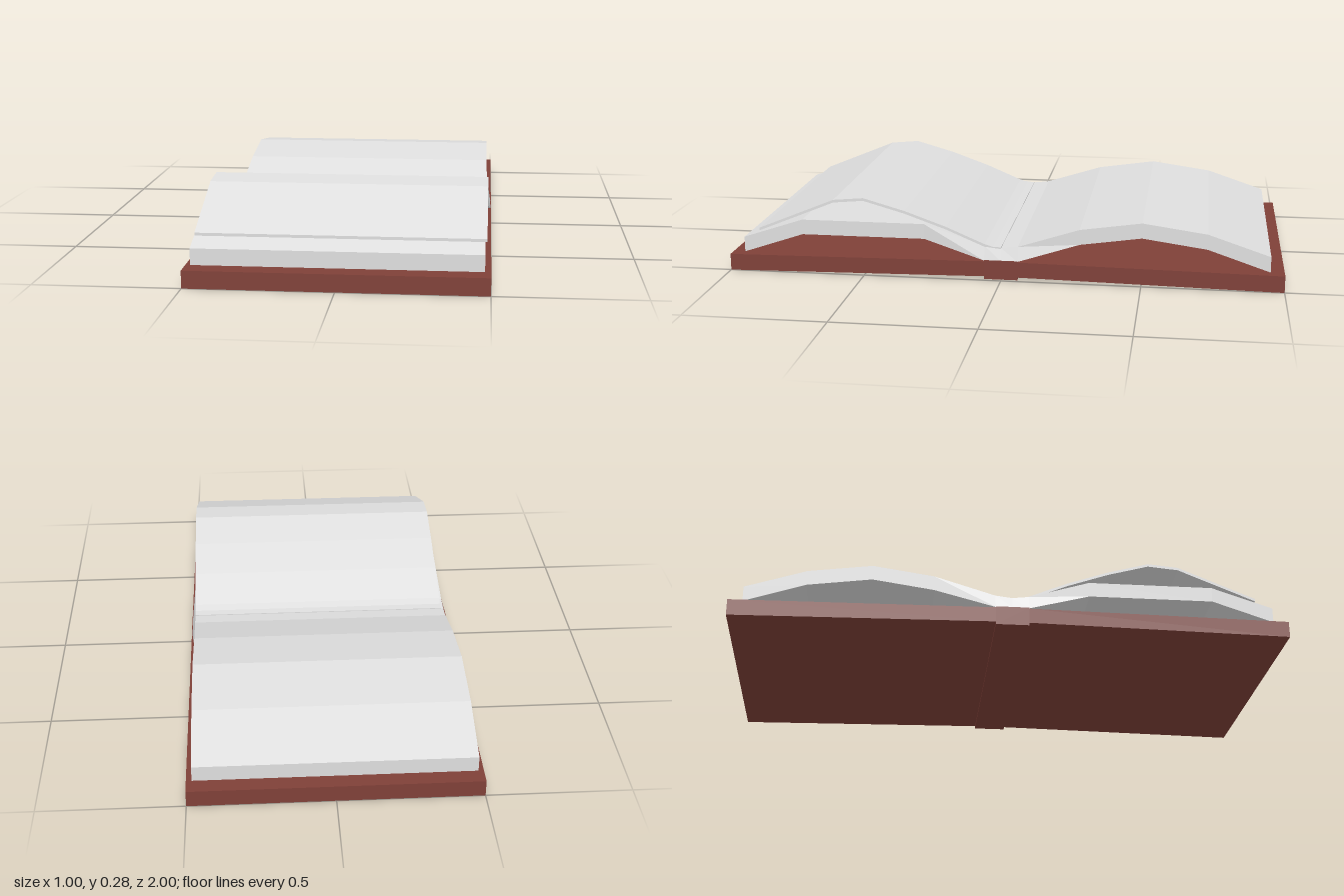
import * as THREE from 'three';

const materials = {
  paper: new THREE.MeshStandardMaterial({ color: 0xdedede, flatShading: true }),
  cover: new THREE.MeshStandardMaterial({ color: 0x7f4038, flatShading: true }),
};

// Loft through quad sections along z: [z, yTop, yBottom, halfTop, halfBottom]
function loft(name, sections, material, offsetX = 0) {
  const points = [];
  const index = [];
  for (const [z, top, bottom, halfTop, halfBottom = halfTop] of sections) {
    points.push(
      offsetX - halfBottom, bottom, z, offsetX + halfBottom, bottom, z,
      offsetX + halfTop, top, z, offsetX - halfTop, top, z);
  }
  const quad = (a, b, c, d) => index.push(a, b, c, a, c, d);
  const last = (sections.length - 1) * 4;
  for (let s = 0; s < last; s += 4) {
    for (let k = 0; k < 4; k++) {
      const n = (k + 1) % 4;
      quad(s + k, s + n, s + 4 + n, s + 4 + k);
    }
  }
  quad(3, 2, 1, 0);
  quad(last, last + 1, last + 2, last + 3);
  const indexed = new THREE.BufferGeometry();
  indexed.setAttribute('position', new THREE.Float32BufferAttribute(points, 3));
  indexed.setIndex(index);
  const geometry = indexed.toNonIndexed();
  geometry.computeVertexNormals();
  const mesh = new THREE.Mesh(geometry, material);
  mesh.name = name;
  return mesh;
}

export function createModel() {
  const book = new THREE.Group();
  book.name = 'openBook';

  // Two cover boards, tilted up slightly towards the spine
  book.add(loft('backCover', [[-1, 0.06, 0, 0.5], [-0.06, 0.071, 0.015, 0.5]], materials.cover));
  book.add(loft('frontCover', [[0.06, 0.071, 0.015, 0.5], [1, 0.06, 0, 0.5]], materials.cover));

  // Spine strip, a little lower than the boards beside it
  const spine = new THREE.Mesh(new THREE.BoxGeometry(1, 0.07, 0.12), materials.cover);
  spine.name = 'spine';
  spine.position.y = 0.04;
  book.add(spine);

  // Arched page blocks, hollow beneath and flared at the spine
  book.add(loft('pageBlock', [
    [-0.95, 0.122, 0.066, 0.48],
    [-0.73, 0.195, 0.14, 0.48],
    [-0.5, 0.227, 0.172, 0.48],
    [-0.28, 0.195, 0.14, 0.48],
    [-0.06, 0.125, 0.073, 0.485, 0.498],
    [0, 0.118, 0.073, 0.485, 0.498],
    [0.06, 0.125, 0.073, 0.485, 0.498],
    [0.28, 0.195, 0.14, 0.48],
    [0.73, 0.195, 0.14, 0.48],
    [0.95, 0.122, 0.066, 0.48],
  ], materials.paper));

  // Single leaf lifting off the front block
  const leaf = [
    [0, 0.121], [0.03, 0.122], [0.06, 0.131], [0.2, 0.19],
    [0.35, 0.243], [0.5, 0.285], [0.61, 0.275], [0.89, 0.16],
  ];
  book.add(loft('loosePage', leaf.map(([z, y]) => [z, y, y - 0.01, 0.481]),
    materials.paper, 0.005));

  return book;
}
